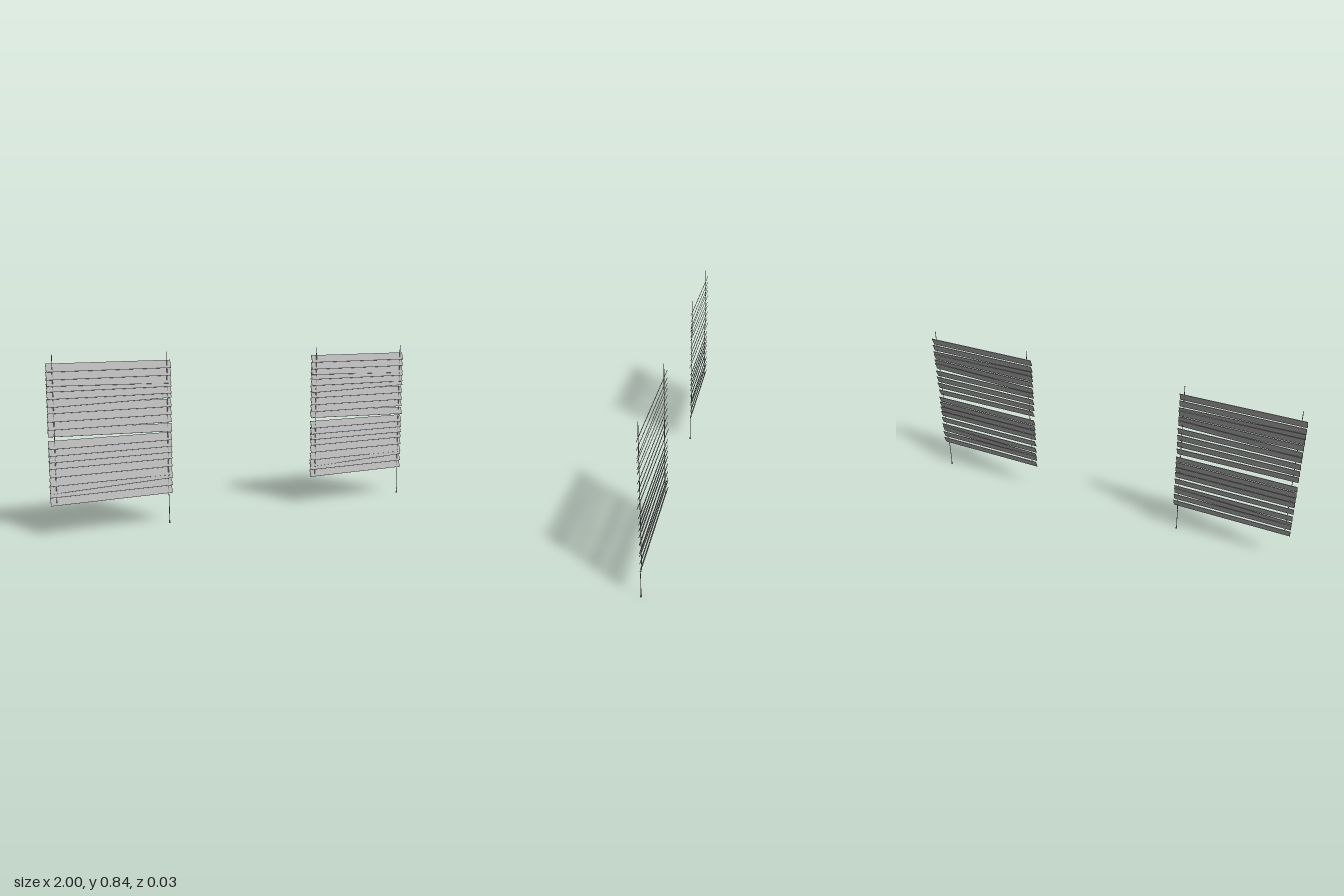
import * as THREE from 'three';

export function createModel() {
  const model = new THREE.Group();
  const slatGrey = new THREE.MeshStandardMaterial({ color: 0xb8b8b8 });
  slatGrey.name = 'slat grey';
  const cordGrey = new THREE.MeshStandardMaterial({ color: 0x9c9c9c });
  cordGrey.name = 'cord grey';

  const add = (parent, name, geometry, material, x, y, z) => {
    const mesh = new THREE.Mesh(geometry, material);
    mesh.name = name;
    mesh.position.set(x, y, z);
    parent.add(mesh);
    return mesh;
  };

  // Lower edge of each slat, with roll and yaw for the ones hanging crooked
  const slats = [
    [0.763], [0.727], [0.694, -0.016], [0.673], [0.64], [0.611, 0.028],
    [0.575], [0.537], [0.5], [0.462, -0.022, -0.016], [0.412], [0.38],
    [0.35], [0.32], [0.281], [0.24], [0.214, 0.033], [0.187], [0.149],
  ];
  const slatGeometry = new THREE.BoxGeometry(0.6, 0.04, 0.0025);
  const cordGeometry = new THREE.CylinderGeometry(0.0016, 0.0016, 0.69, 6);

  // Pull cord leaning forward from the lowest slat, then hanging straight
  const pullPath = new THREE.CurvePath();
  const points = [[0.155, 0.004], [0.12, 0.01], [0.008, 0.01]]
    .map(([y, z]) => new THREE.Vector3(0, y, z));
  pullPath.add(new THREE.LineCurve3(points[0], points[1]));
  pullPath.add(new THREE.LineCurve3(points[1], points[2]));
  const pullGeometry = new THREE.TubeGeometry(pullPath, 12, 0.0016, 6);
  const knobGeometry = new THREE.CylinderGeometry(0.003, 0.0045, 0.012, 8);

  for (const x of [-0.7, 0.7]) {
    const blind = new THREE.Group();
    blind.name = x < 0 ? 'rightBlind' : 'leftBlind';
    blind.position.x = x;
    for (const [bottom, roll = 0, yaw = 0] of slats) {
      const slat = add(blind, 'slat', slatGeometry, slatGrey, 0, bottom + 0.019, 0.001);
      slat.rotation.set(-0.36, yaw, roll, 'ZYX');
    }
    // Lift cords threaded through the slats
    for (const cx of [-0.272, 0.28]) {
      add(blind, 'liftCord', cordGeometry, cordGrey, cx, 0.497, 0.004);
    }
    add(blind, 'pullCord', pullGeometry, cordGrey, 0.28, 0, 0);
    add(blind, 'pullKnob', knobGeometry, cordGrey, 0.28, 0.006, 0.01);
    model.add(blind);
  }
  return model;
}
